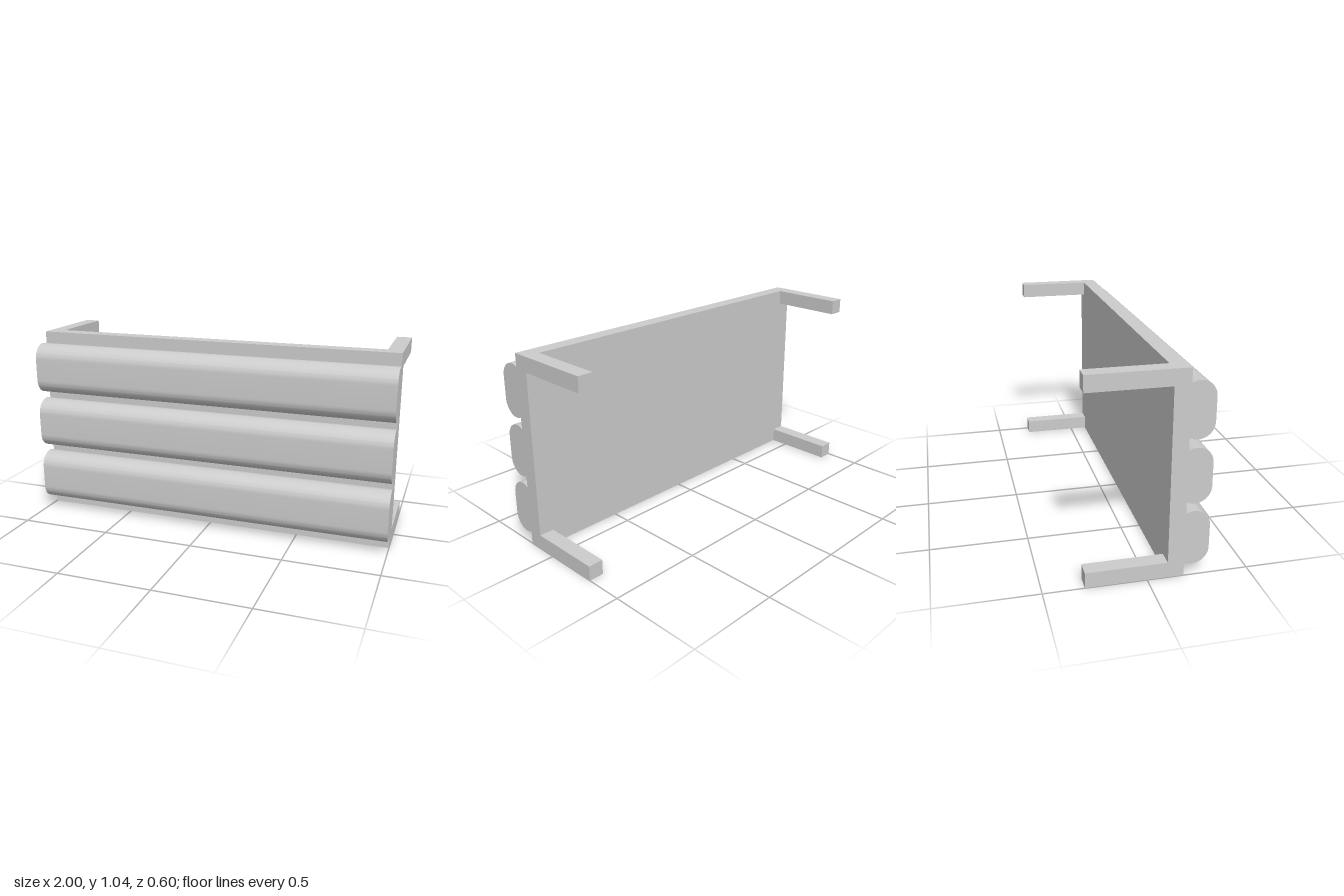
import * as THREE from 'three';
import { toCreasedNormals } from 'three/addons/utils/BufferGeometryUtils.js';

const LENGTH = 2, HEIGHT = 1.04;
const BACK = 0.10, FACE = 0.18; // panel back and front planes
const POST = 0.08, POST_END = -0.3;

// Rounded slat cross-section, drawn as (z, y) around its own middle
function slatGeometry() {
  const r = 0.08, z = 0.22, half = 0.06, sweep = Math.PI * 2 / 3;
  const shape = new THREE.Shape();
  shape.absarc(z, -half, r, -sweep, 0, false);
  shape.absarc(z, half, r, 0, sweep, false);
  shape.closePath();
  const geo = new THREE.ExtrudeGeometry(shape, { depth: LENGTH, bevelEnabled: false, curveSegments: 12 });
  geo.rotateY(-Math.PI / 2).translate(LENGTH / 2, 0, 0);
  return toCreasedNormals(geo, Math.PI / 6);
}

export function createModel() {
  const group = new THREE.Group();
  const material = new THREE.MeshStandardMaterial({ color: 0xcccccc });
  const add = (name, geometry, x, y, z) => {
    const mesh = new THREE.Mesh(geometry, material);
    mesh.name = name;
    mesh.position.set(x, y, z);
    group.add(mesh);
  };

  // Flat backing panel
  add('panel', new THREE.BoxGeometry(LENGTH, HEIGHT, FACE - BACK), 0, HEIGHT / 2, (FACE + BACK) / 2);

  // Three cushioned slats along the front
  const slat = slatGeometry();
  ['lowerSlat', 'middleSlat', 'upperSlat'].forEach((name, i) => add(name, slat, 0, 0.2 + i * 0.32, 0));

  // Square mounting arms at the four back corners
  const arm = new THREE.BoxGeometry(POST, POST, BACK - POST_END);
  for (const [side, sx] of [['left', 1], ['right', -1]]) {
    for (const [level, y] of [['Lower', POST / 2], ['Upper', HEIGHT - POST / 2]]) {
      add(`${side}${level}Arm`, arm, sx * (LENGTH - POST) / 2, y, (BACK + POST_END) / 2);
    }
  }
  return group;
}
